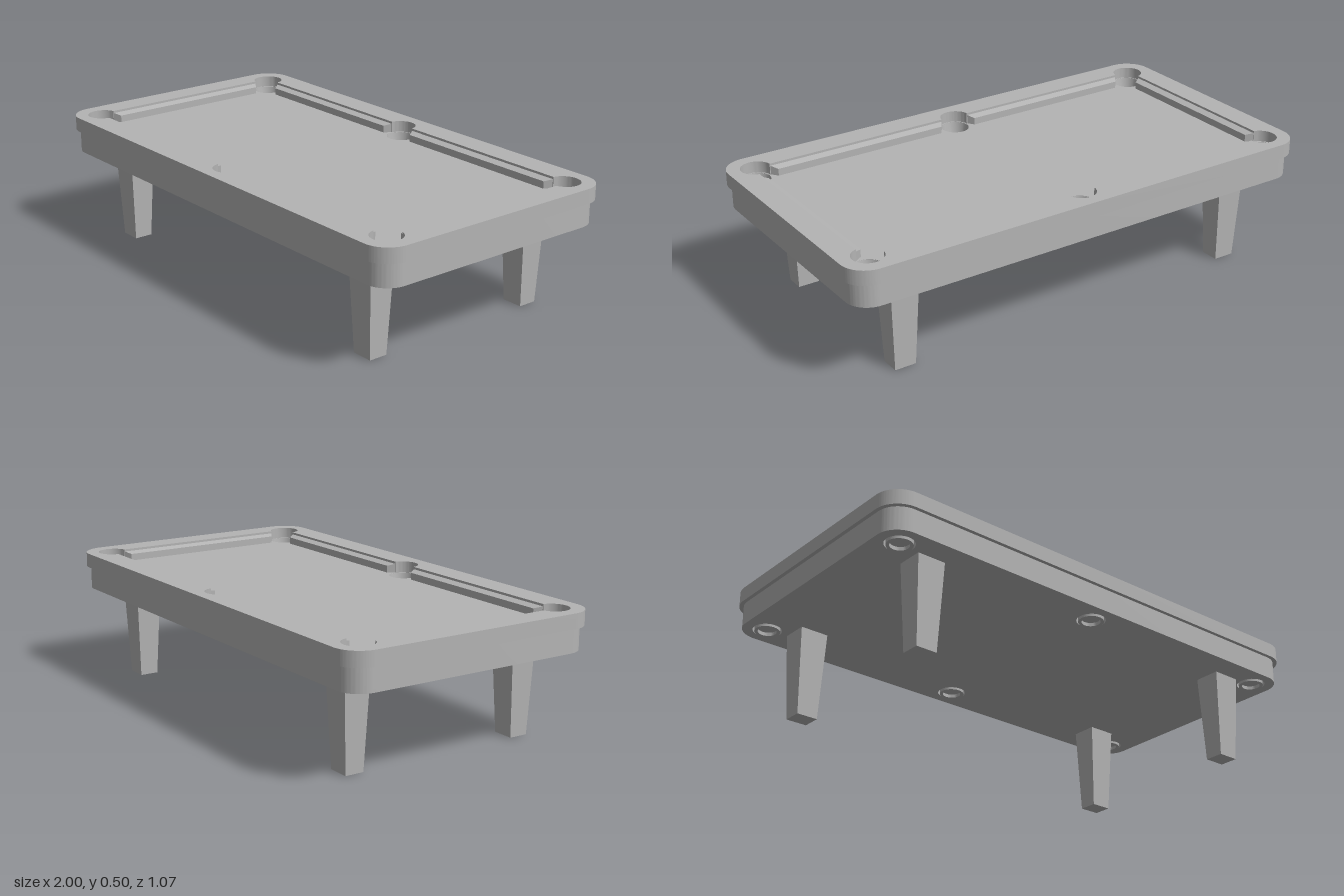
import * as THREE from 'three';
import { toCreasedNormals } from 'three/addons/utils/BufferGeometryUtils.js';

const grey = new THREE.MeshStandardMaterial({ color: 0xb4b4b4 });
grey.name = 'plain grey';

// Pocket centres and the inner edge of the rail
const PX = 0.89, PZ = 0.428, PR = 0.06;
const INX = 0.903, INZ = 0.434;
const BED = 0.455, TOP = 0.5;

function addMesh(parent, geometry, name) {
  const mesh = new THREE.Mesh(geometry, grey);
  mesh.name = name;
  parent.add(mesh);
  return mesh;
}

function roundedRect(hx, hy, r) {
  const s = new THREE.Shape();
  s.absarc(hx - r, hy - r, r, 0, Math.PI / 2);
  s.absarc(-hx + r, hy - r, r, Math.PI / 2, Math.PI);
  s.absarc(-hx + r, -hy + r, r, Math.PI, Math.PI * 1.5);
  s.absarc(hx - r, -hy + r, r, Math.PI * 1.5, Math.PI * 2);
  s.closePath();
  return s;
}

// Extrude a plan shape upward from y0 to y1
function slab(shape, y0, y1) {
  const g = new THREE.ExtrudeGeometry(shape, { depth: y1 - y0, bevelEnabled: false, curveSegments: 16 });
  g.rotateX(-Math.PI / 2);
  g.translate(0, y0, 0);
  return toCreasedNormals(g, 0.5);
}

// Opening of the rail: a rectangle that swells around each pocket
function railOpening() {
  const p = new THREE.Path();
  const a = Math.asin((INZ - PZ) / PR);              // meets the long edge
  const b = Math.acos((INX - PX) / PR);              // meets the short edge
  const pi = Math.PI;
  p.absarc(PX, PZ, PR, -b, pi - a);
  p.absarc(0, PZ, PR, a, pi - a);
  p.absarc(-PX, PZ, PR, a, pi + b);
  p.absarc(-PX, -PZ, PR, pi - b, 2 * pi - a);
  p.absarc(0, -PZ, PR, pi + a, 2 * pi - a);
  p.absarc(PX, -PZ, PR, pi + a, 2 * pi + b);
  p.closePath();
  return p;
}

// Cushion strip along x at distance d behind the centre, its nose facing inward
function cushion(x0, x1, cut0, cut1, d) {
  const nose = d - 0.028;
  const s = new THREE.Shape([
    new THREE.Vector2(x0, d + 0.004), new THREE.Vector2(x0 + cut0, nose),
    new THREE.Vector2(x1 - cut1, nose), new THREE.Vector2(x1, d + 0.004),
  ]);
  const g = new THREE.ExtrudeGeometry(s, { depth: 0.038, bevelEnabled: false });
  g.rotateX(-Math.PI / 2);
  g.translate(0, BED - 0.001, 0);
  const pos = g.attributes.position;
  for (let i = 0; i < pos.count; i++) {
    // slope the top down to the nose
    if (pos.getY(i) > BED + 0.02 && pos.getZ(i) > -d + 0.02) pos.setY(i, BED + 0.028);
  }
  g.computeVertexNormals();
  return g;
}

export function createModel() {
  const table = new THREE.Group();
  table.name = 'poolTable';
  const pockets = [];
  for (const x of [-PX, 0, PX]) for (const z of [-PZ, PZ]) pockets.push([x, z]);

  // Body with the playing surface on top
  const body = roundedRect(0.985, 0.52, 0.09);
  for (const [x, z] of pockets) {
    const hole = new THREE.Path();
    hole.absarc(x, z, 0.056, 0, Math.PI * 2);
    body.holes.push(hole);
  }
  addMesh(table, slab(body, 0.35, BED), 'bodyAndBed');

  // Overhanging rail
  const rail = roundedRect(1, 0.535, 0.1);
  rail.holes.push(railOpening());
  addMesh(table, slab(rail, 0.442, TOP), 'rail');

  // Cushions
  const cushions = new THREE.Group();
  cushions.name = 'cushions';
  table.add(cushions);
  for (const turn of [0, Math.PI]) {
    addMesh(cushions, cushion(0.06, 0.83, 0.02, 0.022, INZ), 'longCushion').rotation.y = turn;
    addMesh(cushions, cushion(-0.83, -0.06, 0.022, 0.02, INZ), 'longCushion').rotation.y = turn;
    addMesh(cushions, cushion(-0.37, 0.37, 0.02, 0.02, INX), 'endCushion').rotation.y = turn + Math.PI / 2;
  }

  // Pocket cups: recessed underside, outer wall, funnel and floor
  const profile = [
    [0, 0.358], [0.036, 0.358], [0.036, 0.344], [0.049, 0.344], [0.049, 0.37],
    [0.058, 0.4], [0.058, 0.454], [0.055, 0.454], [0.045, 0.39], [0, 0.39],
  ].map(([r, y]) => new THREE.Vector2(r, y));
  const cup = toCreasedNormals(new THREE.LatheGeometry(profile, 32), 0.5);
  for (const [x, z] of pockets) addMesh(table, cup, 'pocket').position.set(x, 0, z);

  // Tapered square legs
  const leg = new THREE.BoxGeometry(0.116, 0.352, 0.106);
  const lp = leg.attributes.position;
  for (let i = 0; i < lp.count; i++) {
    if (lp.getY(i) < 0) {
      lp.setX(i, lp.getX(i) * 0.74);
      lp.setZ(i, lp.getZ(i) * 0.71);
    }
  }
  leg.computeVertexNormals();
  for (const x of [-0.748, 0.748]) {
    for (const z of [-0.37, 0.37]) addMesh(table, leg, 'leg').position.set(x, 0.176, z);
  }
  return table;
}
